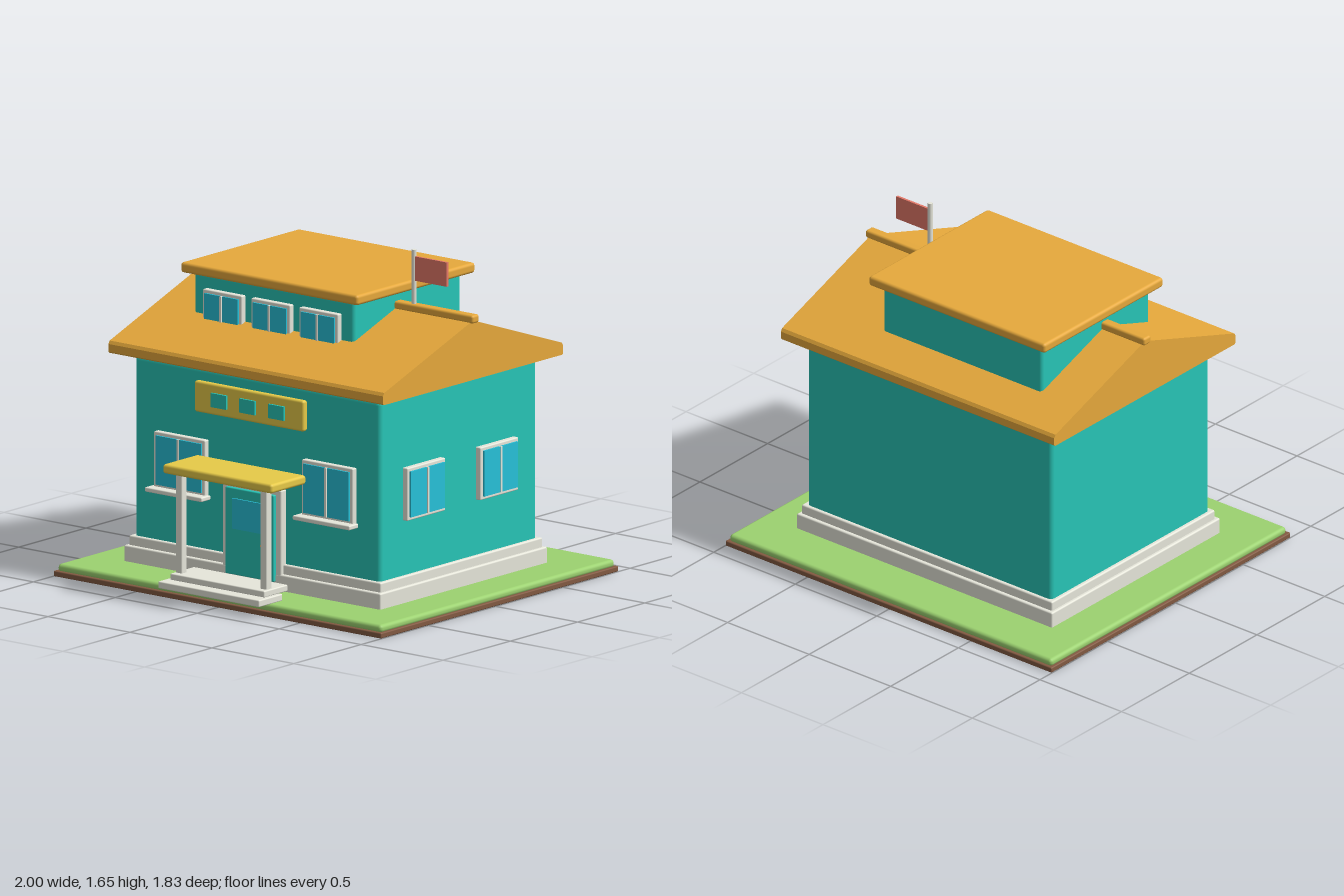
import * as THREE from 'three';
import { RoundedBoxGeometry } from 'three/addons/geometries/RoundedBoxGeometry.js';

const material = (name, color) => Object.assign(new THREE.MeshStandardMaterial({ color }), { name });

export function createModel() {
  const model = new THREE.Group();
  model.name = 'house';
  const teal = material('teal wall', 0x28c6b7);
  const roofing = material('ochre roof', 0xe8aa3c);
  const yellow = material('mustard', 0xe8cb48);
  const stone = material('pale stone', 0xe8e8dc);
  const glass = material('blue glass', 0x28c2da);
  const grass = material('grass green', 0x9cd270);
  const soil = material('brown soil', 0x835a42);
  const red = material('faded red', 0xe67a6a);

  const add = (parent, name, geometry, mat) => {
    const mesh = new THREE.Mesh(geometry, mat);
    mesh.name = name;
    parent.add(mesh);
    return mesh;
  };
  // Box given by its extents; r > 0 rounds the edges
  const block = (parent, name, mat, [x0, x1], [y0, y1], [z0, z1], r = 0) => {
    const size = [x1 - x0, y1 - y0, z1 - z0];
    const geometry = r ? new RoundedBoxGeometry(...size, 3, r) : new THREE.BoxGeometry(...size);
    const mesh = add(parent, name, geometry, mat);
    mesh.position.set((x0 + x1) / 2, (y0 + y1) / 2, (z0 + z1) / 2);
    return mesh;
  };

  // Plot
  block(model, 'soilBase', soil, [-1, 1], [0, 0.027], [-0.915, 0.852], 0.006);
  block(model, 'lawn', grass, [-0.988, 0.988], [0.02, 0.06], [-0.903, 0.838], 0.018);

  // Foundation and main walls
  block(model, 'lowerFoundation', stone, [-0.783, 0.783], [0.05, 0.137], [-0.65, 0.593], 0.008);
  block(model, 'upperFoundation', stone, [-0.768, 0.768], [0.12, 0.183], [-0.632, 0.573], 0.008);
  block(model, 'walls', teal, [-0.75, 0.75], [0.15, 1.058], [-0.615, 0.555], 0.025);

  // Gable roof, profile in z and y extruded along x
  const gable = new THREE.Shape([
    [-0.7, 1.075], [-0.692, 1.068], [0.632, 1.068], [0.64, 1.075], [0.64, 1.112],
    [0.63, 1.127], [-0.03, 1.357], [-0.69, 1.127], [-0.7, 1.112],
  ].map(([z, y]) => new THREE.Vector2(z, y)));
  const roofGeometry = new THREE.ExtrudeGeometry(gable, { depth: 1.676, bevelEnabled: false });
  roofGeometry.rotateY(-Math.PI / 2).translate(0.838, 0, 0);
  add(model, 'gableRoof', roofGeometry, roofing);
  block(model, 'ridgeCap', roofing, [-0.857, 0.855], [1.345, 1.385], [-0.058, -0.005], 0.012);

  // Roof storey
  block(model, 'dormerWalls', teal, [-0.595, 0.38], [1.1, 1.44], [-0.5, 0.3], 0.02);
  block(model, 'dormerRoof', roofing, [-0.648, 0.432], [1.432, 1.482], [-0.543, 0.338], 0.015);

  // Window facing +z around its own origin, back on z = 0
  const addWindow = (name, w, h, x, y, z, turn = 0, sill = false) => {
    const win = new THREE.Group();
    win.name = name;
    const b = 0.017;
    block(win, 'frame', stone, [-w / 2, w / 2], [-h / 2, h / 2], [-0.01, 0.028], 0.006);
    for (const s of [-1, 1]) {
      const pane = block(win, 'pane', glass, [0.006, w / 2 - b], [b - h / 2, h / 2 - b], [0.028, 0.037]);
      pane.position.x *= s;
    }
    block(win, 'mullion', stone, [-0.006, 0.006], [b - h / 2, h / 2 - b], [0.02, 0.042]);
    if (sill) block(win, 'sill', stone, [-0.174, 0.174], [-h / 2 - 0.016, -h / 2 + 0.006], [0.005, 0.075], 0.006);
    win.position.set(x, y, z);
    win.rotation.y = turn;
    model.add(win);
  };
  for (const x of [-0.452, 0.45]) addWindow('frontWindow', 0.312, 0.272, x, 0.578, 0.555, 0, true);
  for (const z of [0.243, -0.3]) addWindow('sideWindow', 0.284, 0.256, 0.75, 0.578, z, Math.PI / 2);
  for (const x of [-0.4, -0.106, 0.187]) addWindow('dormerWindow', 0.238, 0.17, x, 1.285, 0.3);

  // Front door
  block(model, 'doorFrame', stone, [-0.182, 0.176], [0.1, 0.545], [0.545, 0.592], 0.008);
  block(model, 'door', teal, [-0.15, 0.145], [0.1, 0.52], [0.57, 0.61], 0.006);
  block(model, 'doorWindow', glass, [-0.1, 0.094], [0.325, 0.472], [0.61, 0.619]);
  const knobGeometry = new THREE.CylinderGeometry(0.016, 0.016, 0.022, 20).rotateX(Math.PI / 2);
  add(model, 'doorKnob', knobGeometry, roofing).position.set(0.097, 0.27, 0.62);

  // Porch
  block(model, 'lowerStep', stone, [-0.31, 0.307], [0.058, 0.092], [0.738, 0.915], 0.006);
  block(model, 'upperStep', stone, [-0.287, 0.287], [0.09, 0.122], [0.675, 0.852], 0.006);
  for (const x of [-0.262, 0.255]) {
    block(model, 'porchPost', stone, [x - 0.02, x + 0.02], [0.115, 0.61], [0.78, 0.82], 0.006);
  }
  block(model, 'porchRoof', yellow, [-0.335, 0.332], [0.6, 0.645], [0.592, 0.853], 0.014);

  // Blank sign board with three square panels
  block(model, 'signBoard', yellow, [-0.335, 0.332], [0.857, 1.007], [0.582, 0.617], 0.012);
  for (const x of [-0.178, -0.002, 0.174]) {
    block(model, 'signPanel', teal, [x - 0.047, x + 0.047], [0.897, 0.965], [0.612, 0.628]);
  }

  // Flag
  const pole = add(model, 'flagPole', new THREE.CylinderGeometry(0.012, 0.012, 0.585, 16), stone);
  pole.position.set(0.478, 1.3545, -0.03);
  block(model, 'flag', red, [0.486, 0.682], [1.497, 1.615], [-0.036, -0.024]);

  return model;
}
